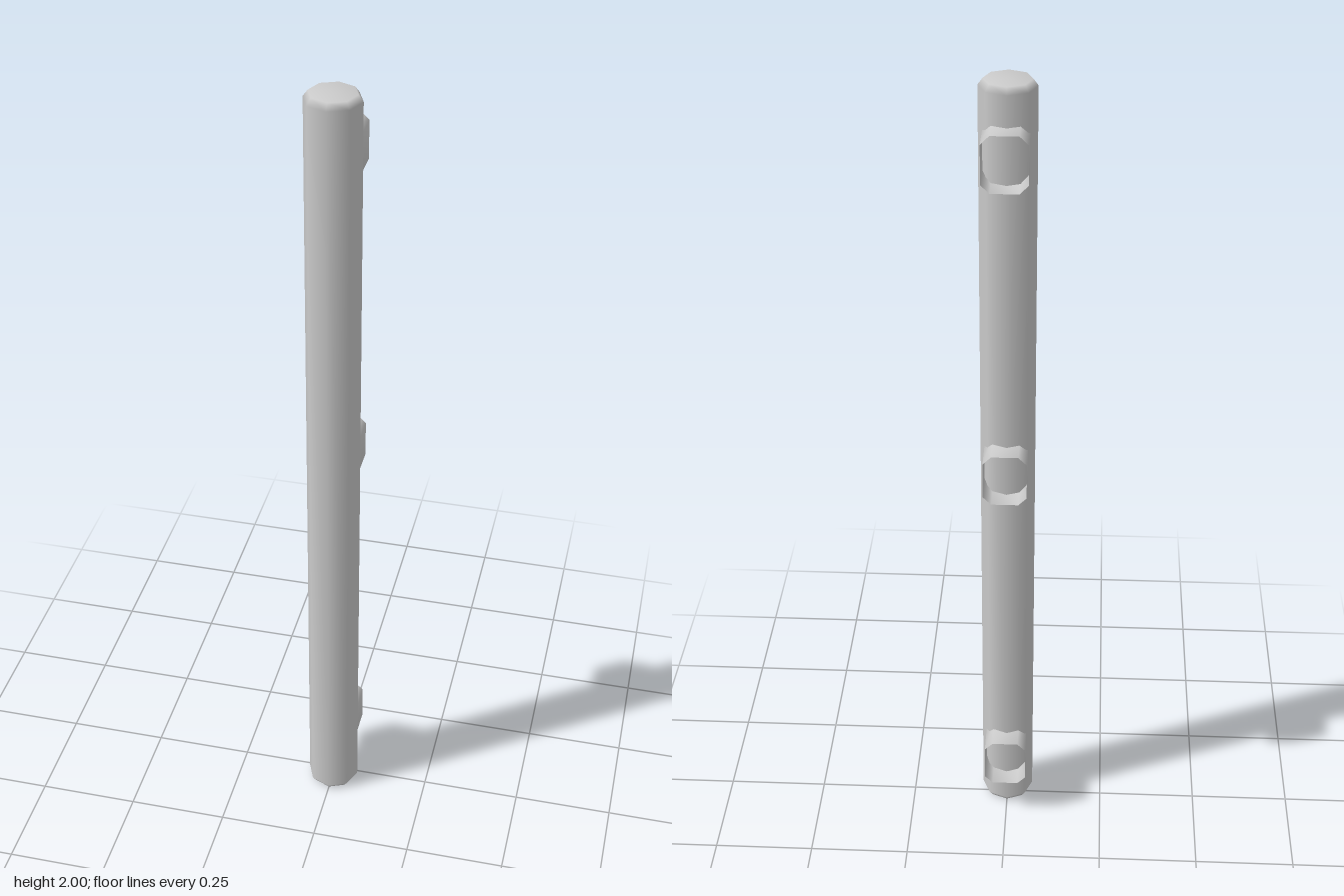
import * as THREE from 'three';

const grey = new THREE.MeshStandardMaterial({ color: 0xcccccc });
const thinGrey = new THREE.MeshStandardMaterial({ color: 0xcccccc, side: THREE.DoubleSide });

// Open rectangular sleeve with chamfered corners, running along z
function sleeveGeometry(x0, x1, halfHeight, chamfer, zBack, zFront) {
  const h = halfHeight, c = chamfer;
  const outline = [
    [x1, -h + c], [x1, h - c], [x1 - c, h], [x0 + c, h],
    [x0, h - c], [x0, -h + c], [x0 + c, -h], [x1 - c, -h],
  ];
  const positions = [], indices = [], n = outline.length;
  for (const z of [zBack, zFront]) {
    for (const [x, y] of outline) positions.push(x, y, z);
  }
  for (let i = 0; i < n; i++) {
    const j = (i + 1) % n;
    indices.push(i, j, n + j, i, n + j, n + i);
  }
  const geometry = new THREE.BufferGeometry();
  geometry.setAttribute('position', new THREE.Float32BufferAttribute(positions, 3));
  geometry.setIndex(indices);
  geometry.computeVertexNormals();
  return geometry;
}

export function createModel() {
  const model = new THREE.Group();
  model.name = 'poleWithBrackets';

  // Eight-sided pole with bevelled ends
  const profile = [[0, 0], [0.055, 0], [0.066, 0.015], [0.066, 1.985], [0.055, 2], [0, 2]]
    .map(([r, y]) => new THREE.Vector2(r, y));
  const pole = new THREE.Mesh(new THREE.LatheGeometry(profile, 8), grey);
  pole.name = 'pole';
  pole.position.z = 0.021;
  model.add(pole);

  // Three hollow mounting brackets on the back
  const sleeve = sleeveGeometry(-0.05, 0.055, 0.066, 0.02, -0.09, 0);
  [['lowerBracket', 0.172], ['middleBracket', 1.047], ['upperBracket', 1.846]].forEach(([name, y]) => {
    const bracket = new THREE.Mesh(sleeve, thinGrey);
    bracket.name = name;
    bracket.position.y = y;
    model.add(bracket);
  });

  return model;
}
